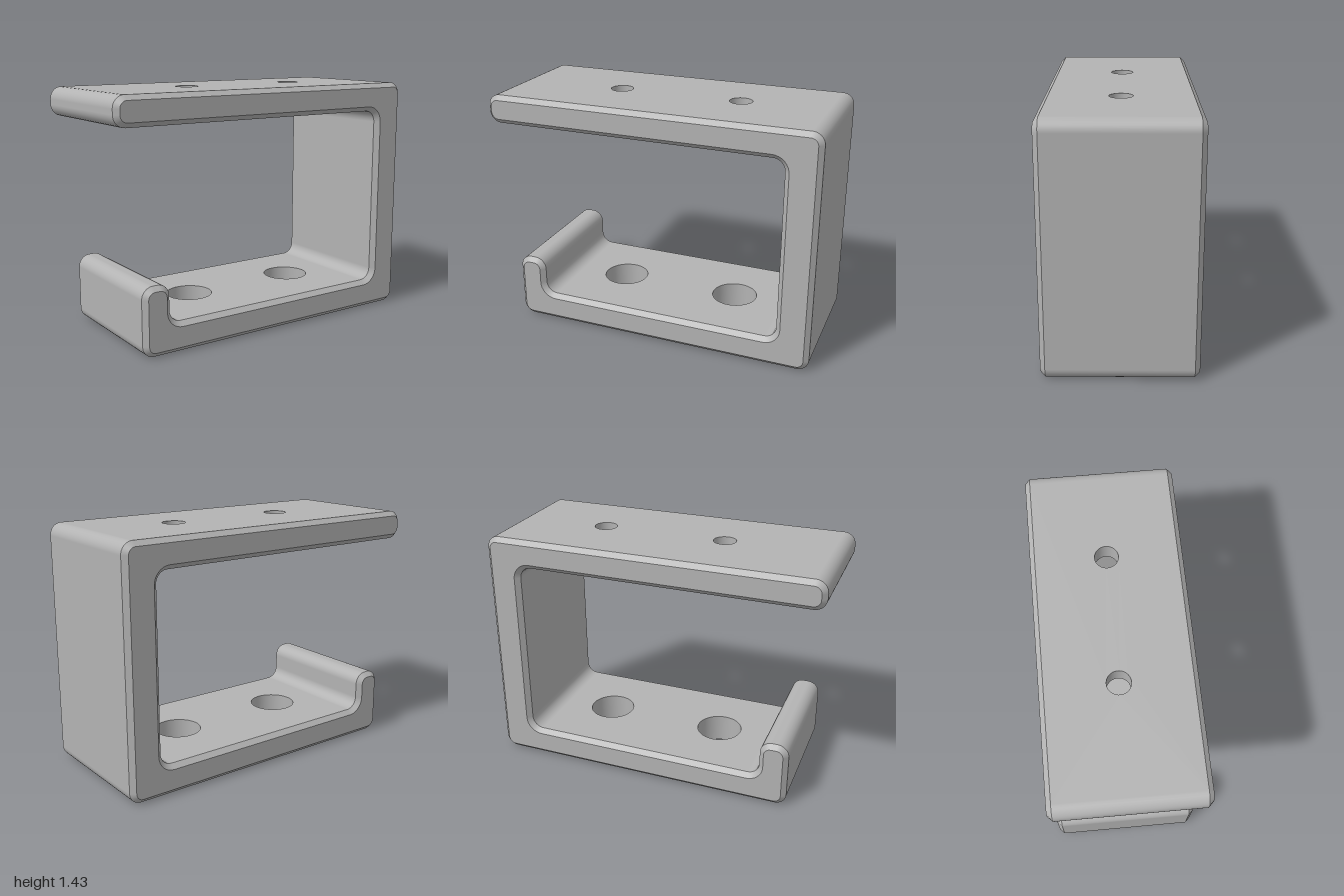
import * as THREE from 'three';

const STEPS = 8, BEVEL = 0.028, HALF = 0.428, R = 0.07;
const TOP = 1.43, ARM = 1.26, FLOOR = 0.175;
const HOLES_X = [-0.32, 0.425];
const BORE = 0.067, SINK = 0.116, ACCESS = 0.138, SINK_DEPTH = 0.05;

// Sharp corners of the hook outline, counterclockwise
const CORNERS = [
  [-0.86, 0], [1, 0], [1, TOP], [-1, TOP], [-1, ARM],
  [0.8, ARM], [0.8, FLOOR], [-0.69, FLOOR], [-0.69, 0.402], [-0.86, 0.402],
].map(([x, y]) => new THREE.Vector2(x, y));

// Rounded outline, moved inward by inset; every inset has the same point count
function outline(inset) {
  const ring = [], n = CORNERS.length;
  CORNERS.forEach((p, i) => {
    const d1 = p.clone().sub(CORNERS[(i + n - 1) % n]).normalize();
    const d2 = CORNERS[(i + 1) % n].clone().sub(p).normalize();
    const turn = Math.sign(d1.cross(d2));
    const n1 = new THREE.Vector2(-d1.y, d1.x), n2 = new THREE.Vector2(-d2.y, d2.x);
    const centre = p.clone().addScaledVector(n1, turn * R).addScaledVector(n2, turn * R);
    for (let k = 0; k <= STEPS; k++) {
      const t = (k / STEPS) * Math.PI / 2;
      const normal = n1.clone().multiplyScalar(-Math.cos(t)).addScaledVector(n2, -Math.sin(t));
      ring.push({ p: centre.clone().addScaledVector(normal, turn * (R - turn * inset)), normal });
    }
  });
  return ring;
}

// Band of quads from ring a at za to ring b at zb (za < zb); nz tilts the normals
function band(a, za, b, zb, nz, skip = () => false) {
  const pos = [], nor = [], idx = [], n = a.length;
  a.forEach((v, i) => {
    const m = new THREE.Vector3(v.normal.x, v.normal.y, nz).normalize();
    pos.push(v.p.x, v.p.y, za, b[i].p.x, b[i].p.y, zb);
    nor.push(...m.toArray(), ...m.toArray());
    if (skip(i)) return;
    const j = (i + 1) % n;
    idx.push(2 * i, 2 * j, 2 * j + 1, 2 * i, 2 * j + 1, 2 * i + 1);
  });
  const g = new THREE.BufferGeometry();
  g.setAttribute('position', new THREE.Float32BufferAttribute(pos, 3));
  g.setAttribute('normal', new THREE.Float32BufferAttribute(nor, 3));
  g.setIndex(idx);
  return g;
}

// Flat horizontal face with round openings
function plate(x0, x1, y, radius, up) {
  const h = HALF - BEVEL;
  const shape = new THREE.Shape([[x0, -h], [x1, -h], [x1, h], [x0, h]].map(q => new THREE.Vector2(...q)));
  for (const x of HOLES_X) shape.holes.push(new THREE.Path().absarc(x, 0, radius, 0, Math.PI * 2, true));
  return new THREE.ShapeGeometry(shape, 24).rotateX(up ? -Math.PI / 2 : Math.PI / 2).translate(0, y, 0);
}

// Inward-facing hole wall, listed from top to bottom
function liner(x, rTop, yTop, rBottom, yBottom) {
  const pts = [new THREE.Vector2(rTop, yTop), new THREE.Vector2(rBottom, yBottom)];
  return new THREE.LatheGeometry(pts, 48).translate(x, 0, 0);
}

export function createModel() {
  const group = new THREE.Group();
  const grey = new THREE.MeshStandardMaterial({ color: 0xb3b3b3 });
  grey.name = 'grey';
  const add = (name, geometry) => {
    const mesh = new THREE.Mesh(geometry, grey);
    mesh.name = name;
    group.add(mesh);
  };

  const full = outline(0), inner = outline(BEVEL), zc = HALF - BEVEL;

  // Side walls; the four drilled flats are left open for the plates
  const drilled = [0, 2, 4, 6].map(k => k * (STEPS + 1) + STEPS);
  add('bracketWalls', band(full, -zc, full, zc, 0, i => drilled.includes(i)));

  // Chamfered rims and flat ends
  add('frontChamfer', band(full, zc, inner, HALF, 1));
  add('backChamfer', band(inner, -HALF, full, -zc, -1));
  const face = new THREE.Shape(inner.map(v => v.p));
  add('frontFace', new THREE.ShapeGeometry(face).translate(0, 0, HALF));
  add('backFace', new THREE.ShapeGeometry(new THREE.Shape(inner.map(v => new THREE.Vector2(-v.p.x, v.p.y))))
    .rotateY(Math.PI).translate(0, 0, -HALF));

  // Drilled flats
  add('topOuterPlate', plate(-1 + R, 1 - R, TOP, BORE, true));
  add('topInnerPlate', plate(-1 + R, 0.8 - R, ARM, SINK, false));
  add('baseInnerPlate', plate(-0.69 + R, 0.8 - R, FLOOR, ACCESS, true));
  add('baseOuterPlate', plate(-0.86 + R, 1 - R, 0, ACCESS, false));

  // Countersunk screw holes above, wide access holes below
  for (const x of HOLES_X) {
    add('screwBore', liner(x, BORE, TOP, BORE, ARM + SINK_DEPTH));
    add('screwCountersink', liner(x, BORE, ARM + SINK_DEPTH, SINK, ARM));
    add('accessHole', liner(x, ACCESS, FLOOR, ACCESS, 0));
  }
  return group;
}
